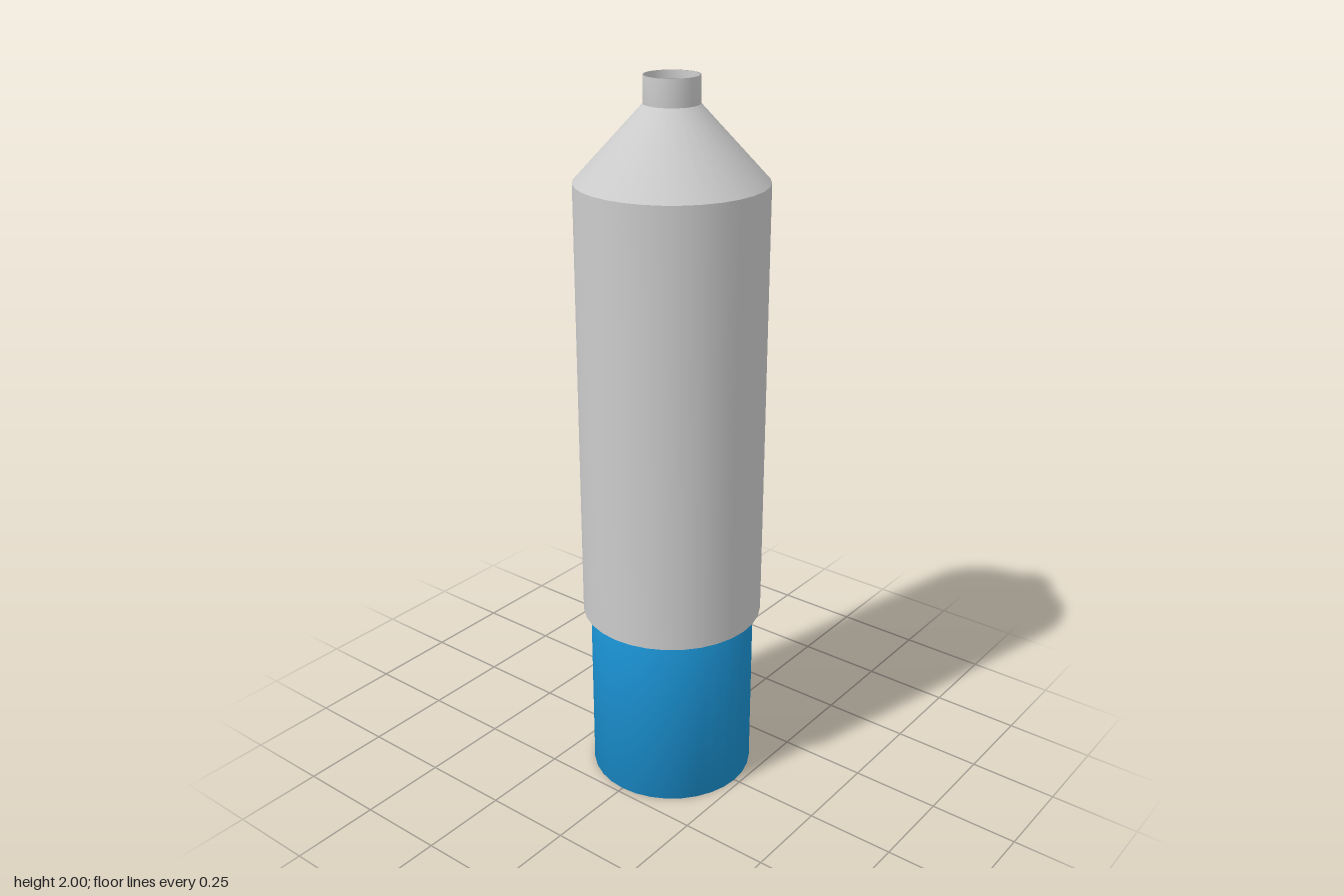
import * as THREE from 'three';
import { mergeVertices } from 'three/addons/utils/BufferGeometryUtils.js';

const SIDES = 32;

// Weld a geometry so that normals blend over its rims
function soften(geometry) {
  geometry.deleteAttribute('uv');
  geometry.deleteAttribute('normal');
  const welded = mergeVertices(geometry, 1e-4);
  welded.computeVertexNormals();
  return welded;
}

// Hollow ring section: outer and inner radius at its bottom and top
function tube(y0, y1, outer0, outer1, inner0, inner1) {
  const profile = [
    [inner0, y0], [outer0, y0], [outer1, y1], [inner1, y1], [inner0, y0],
  ].map(([r, y]) => new THREE.Vector2(r, y));
  return soften(new THREE.LatheGeometry(profile, SIDES));
}

export function createModel() {
  const group = new THREE.Group();
  const grey = new THREE.MeshStandardMaterial({ color: 0xcccccc });
  const blue = new THREE.MeshStandardMaterial({ color: 0x1a90d0 });

  const add = (name, geometry, material) => {
    const mesh = new THREE.Mesh(geometry, material);
    mesh.name = name;
    group.add(mesh);
    return mesh;
  };

  // Hollow shell: straight body, sloping shoulder, short open neck
  add('body', tube(0.51, 1.735, 0.253, 0.253, 0.24, 0.24), grey);
  add('shoulder', tube(1.735, 1.93, 0.253, 0.073, 0.24, 0.069), grey);
  add('neck', tube(1.93, 2, 0.073, 0.073, 0.069, 0.069), grey);

  // Solid plug closing the lower end
  const plug = soften(new THREE.CylinderGeometry(0.232, 0.232, 0.55, SIDES));
  add('plug', plug, blue).position.y = 0.275;

  return group;
}
